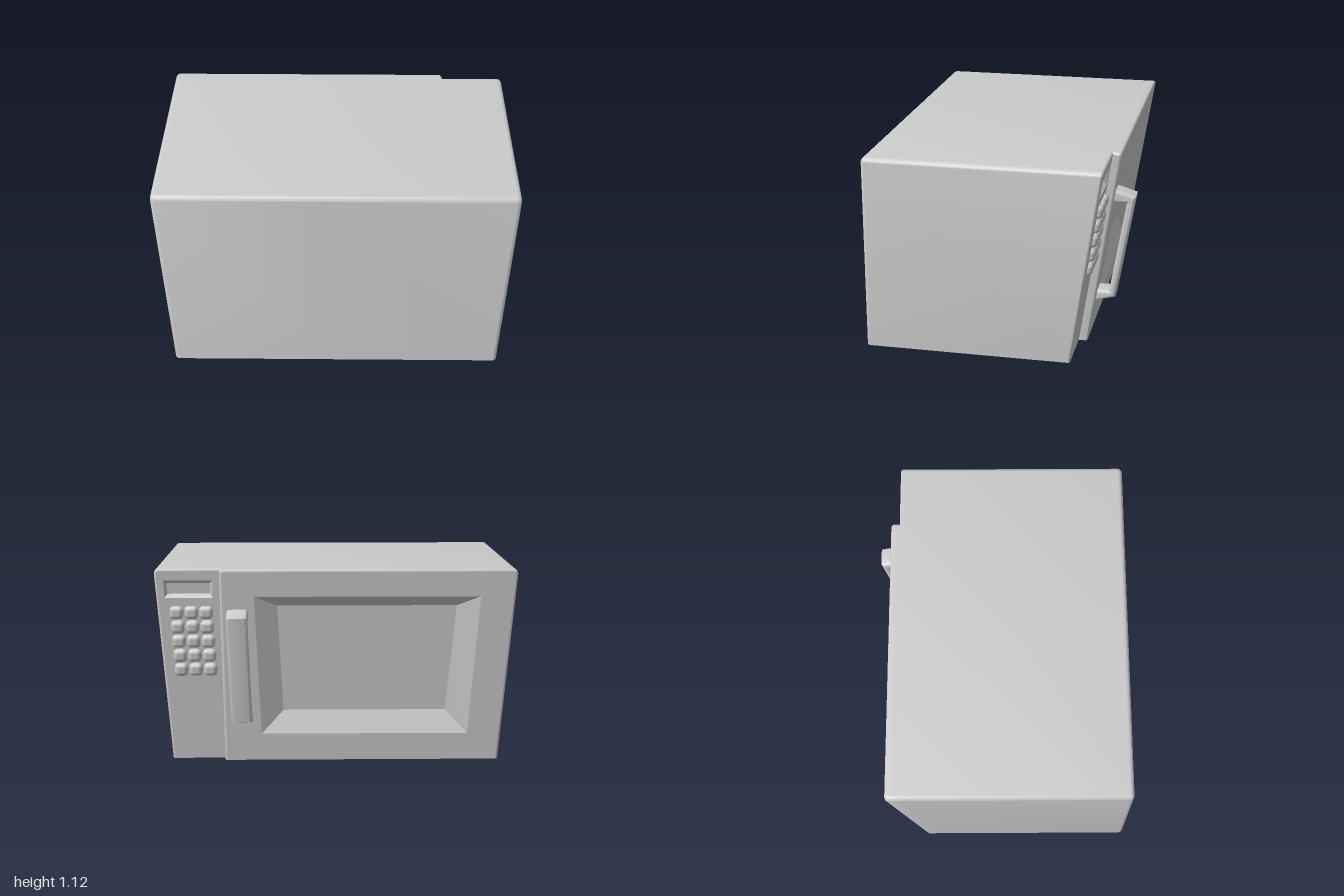
import * as THREE from 'three';
import { toCreasedNormals } from 'three/addons/utils/BufferGeometryUtils.js';
import { RoundedBoxGeometry } from 'three/addons/geometries/RoundedBoxGeometry.js';

const H = 1.12, R = 0.027, SLOPE = 0.155, DOOR = 0.048, LIP = 0.014;

const material = new THREE.MeshStandardMaterial({ color: 0xcccccc, side: THREE.DoubleSide });

// slanted plane of the control side, and the opposite wall
const faceZ = (y) => -0.604 + SLOPE * (H - y);
const wallZ = (y) => 0.725 - 0.028 * y / H;

function mesh(name, geometry, crease = 0.6) {
  const m = new THREE.Mesh(crease ? toCreasedNormals(geometry, crease) : geometry, material);
  m.name = name;
  return m;
}

// skin over rings of [x, y, z] points
function loft(rings, closed) {
  const n = rings[0].length, index = [];
  for (let j = 0; j < rings.length - 1; j++) {
    for (let i = 0; i < (closed ? n : n - 1); i++) {
      const k = (i + 1) % n;
      const a = j * n + i, b = j * n + k, c = a + n, d = b + n;
      index.push(a, c, b, b, c, d);
    }
  }
  const g = new THREE.BufferGeometry();
  g.setAttribute('position', new THREE.Float32BufferAttribute(rings.flat(2), 3));
  g.setIndex(index);
  g.computeVertexNormals();
  return g;
}

// left half of the tapered outline, from the bottom up round the top corner
function halfOutline(inset) {
  const r = Math.max(R - inset, 0.001);
  const pts = [[0.932 - inset, 0]];
  for (let i = 0; i <= 5; i++) {
    const a = i / 5 * Math.PI / 2;
    pts.push([1 - inset - r + r * Math.cos(a), H - inset - r + r * Math.sin(a)]);
  }
  return pts;
}
const mirrored = (inset) => halfOutline(inset).map(([x, y]) => [-x, y]);

// outlines running from the right foot over the top to the left foot
const casingOutline = (inset) => [...mirrored(inset), ...halfOutline(inset).reverse()];
const panelOutline = (inset) => [[0.6, 0], [0.6, H - inset], ...halfOutline(inset).reverse()];
const doorOutline = (inset) => [...mirrored(inset),
  [0.627 - inset, H - inset], [0.64 - inset, H - 0.013 - inset], [0.63 - inset, 0]];

// casing: top and side walls, open below and behind the door
function casing() {
  const rings = [casingOutline(0).map(([x, y]) => [x, y, faceZ(y) + LIP])];
  for (let i = 0; i <= 5; i++) {
    const a = i / 5 * Math.PI / 2;
    rings.push(casingOutline(R * (1 - Math.cos(a))).map(([x, y]) => [x, y, wallZ(y) - R * (1 - Math.sin(a))]));
  }
  rings.push(rings[rings.length - 1].map(([, y, z]) => [0, y, z]));
  return mesh('casing', loft(rings, false));
}

// rectangle that narrows downwards: [x0, x1] at the top, [b0, b1] at the bottom
const opening = ({ x0, x1, b0, b1, y0, y1 }, side = 0, below = 0, above = 0) => [
  [b0 + side, y0 + below], [b1 - side, y0 + below], [x1 - side, y1 - above], [x0 + side, y1 - above]];

// slanted front with an opening and a rounded rim, open below
function front(name, outline, hole, proud) {
  const group = new THREE.Group();
  group.name = name;

  const flip = (pts) => pts.map(([x, y]) => new THREE.Vector2(-x, y));
  const shape = new THREE.Shape(flip(outline(LIP)));
  shape.holes.push(new THREE.Path(flip(opening(hole))));
  const face = new THREE.ShapeGeometry(shape);
  const p = face.attributes.position;
  for (let i = 0; i < p.count; i++) p.setXYZ(i, -p.getX(i), p.getY(i), faceZ(p.getY(i)) - proud);
  face.computeVertexNormals();

  const rings = [];
  for (let i = 0; i <= 4; i++) {
    const a = i / 4 * Math.PI / 2;
    rings.push(outline(LIP * (1 - Math.sin(a))).map(([x, y]) => [x, y, faceZ(y) - proud + LIP * (1 - Math.cos(a))]));
  }
  rings.push(outline(0).map(([x, y]) => [x, y, faceZ(y) + LIP + 0.001]));
  group.add(mesh(name + 'Face', face), mesh(name + 'Rim', loft(rings, false)));
  return group;
}

// sunken panel with sloping sides that fills an opening
function recess(name, hole, proud, insets, depth) {
  const ring = (d, ...ins) => opening(hole, ...ins).map(([x, y]) => [x, y, faceZ(y) - proud + d]);
  const floor = ring(depth, ...insets);
  const mid = [0, 1, 2].map((k) => floor.reduce((s, p) => s + p[k] / 4, 0));
  return mesh(name, loft([ring(0), floor, floor.map(() => mid)], true), 0.4);
}

// C-shaped pull handle, profile drawn from the side, leaning with the door
function handle() {
  const profile = [[0.58, 0.908], [0.726, 0.863], [0.624, 0.26], [0.48, 0.222],
    [0.5, 0.295], [0.588, 0.295], [0.678, 0.825], [0.58, 0.825]];
  const b = 0.018;
  const g = new THREE.ExtrudeGeometry(new THREE.Shape(profile.map((p) => new THREE.Vector2(...p))), {
    depth: 0.082, bevelSize: b, bevelThickness: b, bevelOffset: -b, bevelSegments: 3,
  });
  g.rotateY(Math.PI / 2);
  g.rotateZ(-0.03);
  g.translate(0.477, 0, 0);
  return mesh('handle', g);
}

// keypad of three columns and five rows
function keypad() {
  const group = new THREE.Group();
  group.name = 'keypad';
  const key = new RoundedBoxGeometry(0.076, 0.076, 0.054, 3, 0.026);
  for (let row = 0; row < 5; row++) {
    for (let col = 0; col < 3; col++) {
      const y = 0.872 - row * 0.083;
      const k = mesh('key', key, 0);
      k.position.set(0.882 - col * 0.082 - row * 0.004, y, faceZ(y));
      k.rotation.x = -Math.atan(SLOPE);
      group.add(k);
    }
  }
  return group;
}

export function createModel() {
  const model = new THREE.Group();
  model.name = 'microwaveOven';
  model.add(casing());

  // control panel with display
  const display = { x0: 0.68, x1: 0.95, b0: 0.68, b1: 0.945, y0: 0.955, y1: 1.055 };
  model.add(front('controlPanel', panelOutline, display, 0));
  model.add(recess('display', display, 0, [0.015, 0.02, 0.02], 0.025));
  model.add(keypad());

  // door with sunken window
  const window = { x0: -0.8, x1: 0.45, b0: -0.75, b1: 0.42, y0: 0.16, y1: 0.967 };
  model.add(front('door', doorOutline, window, DOOR));
  model.add(recess('window', window, DOOR, [0.125, 0.13, 0.06], 0.06));
  model.add(handle());
  return model;
}
